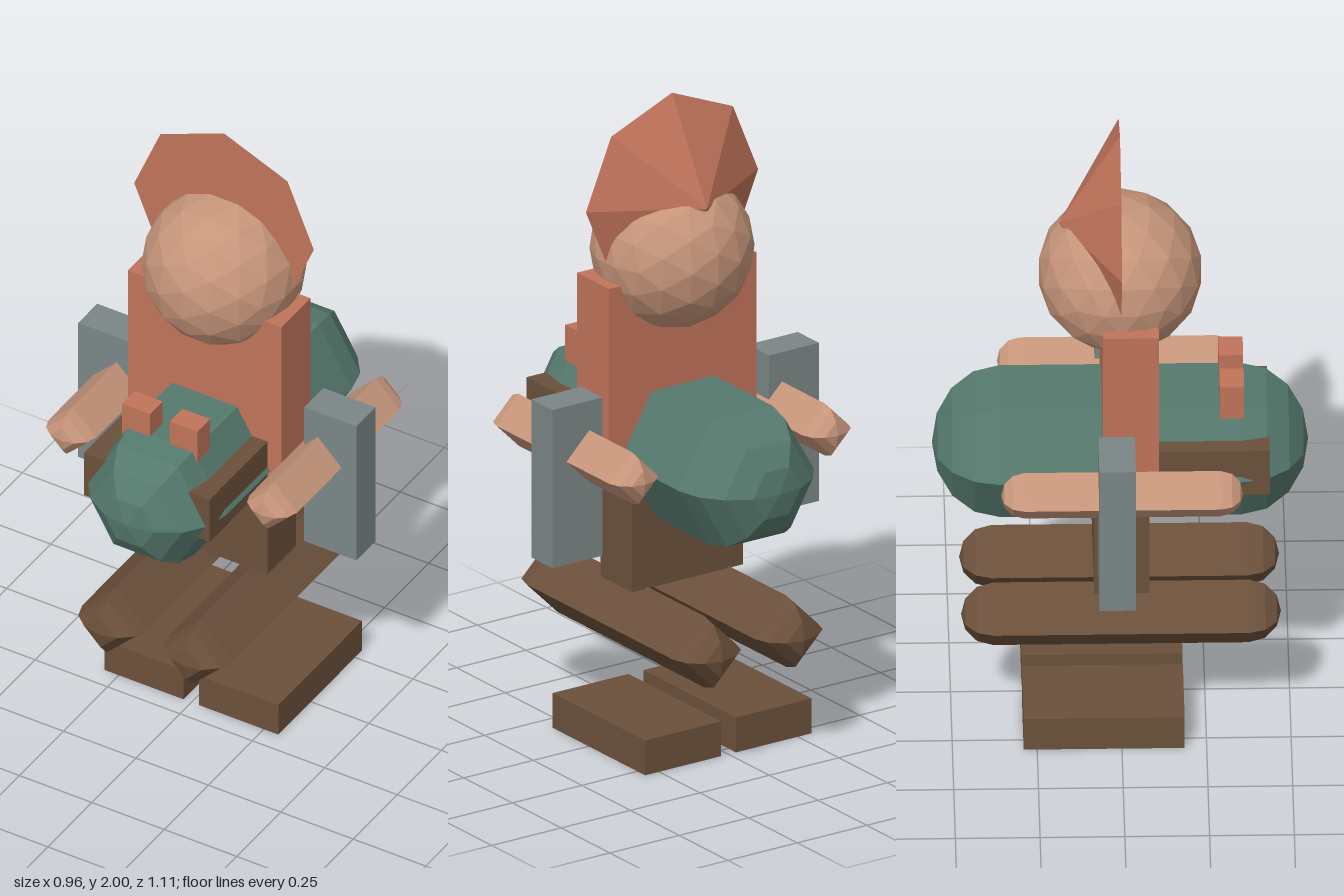
import * as THREE from 'three';

const mat = (color) => new THREE.MeshStandardMaterial({ color, flatShading: true });

export function createModel() {
  const model = new THREE.Group();
  model.name = 'figure';
  const skin = mat(0xc6957a);
  const red = mat(0xc0735a);
  const brown = mat(0x6b503b);
  const teal = mat(0x55796d);
  const grey = mat(0x7b8686);

  const add = (name, geometry, material, x = 0, y = 0, z = 0) => {
    const mesh = new THREE.Mesh(geometry, material);
    mesh.name = name;
    mesh.position.set(x, y, z);
    model.add(mesh);
    return mesh;
  };

  // Box given by its lower and upper limits on each axis
  const box = (name, material, [x0, x1], [y0, y1], [z0, z1]) =>
    add(name, new THREE.BoxGeometry(x1 - x0, y1 - y0, z1 - z0), material,
      (x0 + x1) / 2, (y0 + y1) / 2, (z0 + z1) / 2);

  // Faceted capsule along z: straight half-length, cap depth, sides
  const capsule = (name, material, radius, half, cap, sides, rings, phase, x, y) => {
    const points = [];
    for (const end of [-1, 1]) {
      for (let i = 0; i <= rings; i++) {
        const a = ((end < 0 ? rings - i : i) / rings) * Math.PI / 2;
        const r = i === (end < 0 ? 0 : rings) ? 0 : radius * Math.cos(a);
        points.push(new THREE.Vector2(r, end * (half + cap * Math.sin(a))));
      }
    }
    const geometry = new THREE.LatheGeometry(points, sides, phase);
    geometry.rotateX(Math.PI / 2);
    return add(name, geometry, material, x, y, 0);
  };

  // Head, with a shallow eight-sided cone behind it
  add('head', new THREE.IcosahedronGeometry(0.244, 2), skin, 0, 1.515, 0);
  const crest = new THREE.ConeGeometry(0.31, 0.18, 8);
  crest.rotateX(-Math.PI / 2);
  add('headCone', crest, red, 0, 1.69, -0.09);

  // Trunk
  box('torso', red, [-0.265, 0.265], [0.88, 1.455], [-0.055, 0.11]);
  box('pelvis', brown, [-0.2, 0.2], [0.49, 0.88], [-0.08, 0.083]);
  capsule('belly', teal, 0.225, 0.355, 0.2, 6, 4, Math.PI / 2, 0, 0.903);
  box('beltBox', brown, [-0.217, 0.217], [0.853, 1.01], [0, 0.438]);

  // Paired parts
  for (const [side, s] of [['left', 1], ['right', -1]]) {
    const span = (a, b) => (s > 0 ? [a, b] : [-b, -a]);
    box(side + 'Button', red, span(0.034, 0.13), [1.03, 1.18], [0.292, 0.364]);
    box(side + 'ArmPlate', grey, span(0.3, 0.48), [0.625, 1.125], [-0.07, 0.038]);
    capsule(side + 'Arm', skin, 0.082, 0.29, 0.067, 4, 3, 0, s * 0.347, 0.95);
    capsule(side + 'Leg', brown, 0.113, 0.377, 0.095, 4, 3, 0, s * 0.147, 0.384);
    box(side + 'Foot', brown, span(0.027, 0.3), [0, 0.11], [-0.29, 0.185]);
  }

  return model;
}
